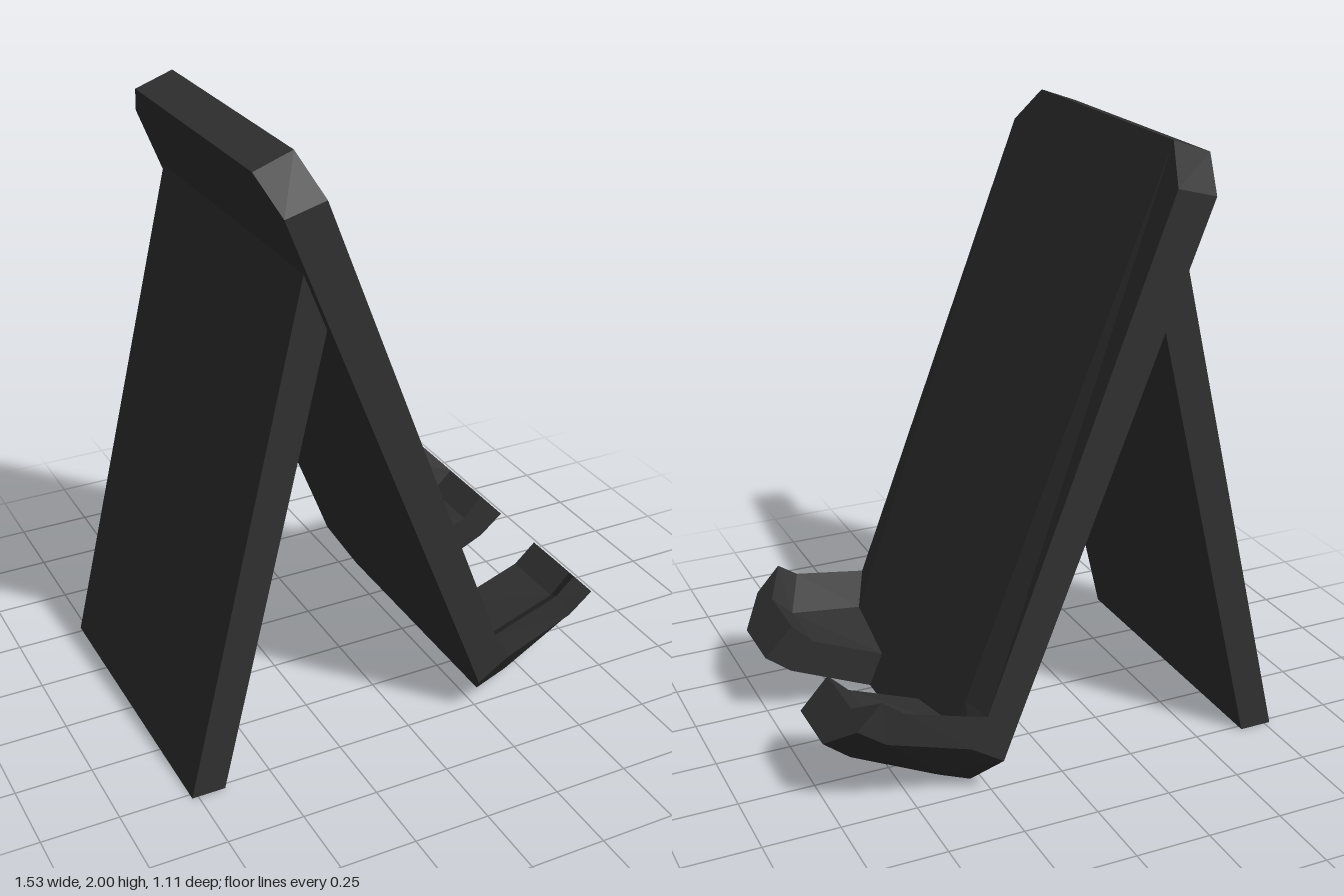
import * as THREE from 'three';

// Skin a series of rings (counter-clockwise seen from the last one) and cap both ends
function loft(rings) {
  const pos = [];
  const tri = (a, b, c) => pos.push(...a, ...b, ...c);
  const n = rings[0].length;
  for (let s = 0; s < rings.length - 1; s++) {
    const a = rings[s], b = rings[s + 1];
    for (let i = 0; i < n; i++) {
      const j = (i + 1) % n;
      tri(a[i], a[j], b[j]);
      tri(a[i], b[j], b[i]);
    }
  }
  const first = rings[0], last = rings[rings.length - 1];
  for (let i = 1; i < n - 1; i++) {
    tri(first[0], first[i + 1], first[i]);
    tri(last[0], last[i], last[i + 1]);
  }
  const geo = new THREE.BufferGeometry();
  geo.setAttribute('position', new THREE.Float32BufferAttribute(pos, 3));
  geo.computeVertexNormals(); // unshared corners keep the facets flat
  return geo;
}

const atZ = (profile, z) => profile.map(([x, y]) => [x, y, z]);

export function createModel() {
  const group = new THREE.Group();
  const charcoal = new THREE.MeshStandardMaterial({ color: 0x303030 });
  const add = (name, rings) => {
    const mesh = new THREE.Mesh(loft(rings), charcoal);
    mesh.name = name;
    group.add(mesh);
  };

  // Leaning back plate with chamfered corners
  const edge = [[0.285, 0.3], [-0.315, 1.885], [-0.445, 1.85], [0.18, 0.26], [0.23, 0.13], [0.34, 0.2]];
  const core = [[0.31, 0.3], [-0.36, 2], [-0.485, 1.955], [0.18, 0.26], [0.295, 0.015], [0.405, 0.06]];
  add('backPlate', [atZ(edge, -0.555), atZ(core, -0.44), atZ(core, 0.44), atZ(edge, 0.555)]);

  // Rear support leg
  const leg = [[-0.77, 0], [-0.66, 0], [-0.3, 1.49], [-0.33, 1.66], [-0.37, 1.68]];
  add('supportLeg', [atZ(leg, -0.52), atZ(leg, 0.52)]);

  // Front hooks: floor, raised outer corner and chamfered underside, from plate to tip
  const hook = [
    [[0.342, 0.22, 0.44], [0.285, 0.3, 0.555], [0.34, 0.2, 0.555], [0.405, 0.06, 0.44], [0.405, 0.06, 0.17], [0.36, 0.175, 0.165]],
    [[0.6, 0.27, 0.4], [0.54, 0.355, 0.52], [0.6, 0.26, 0.515], [0.68, 0.175, 0.405], [0.68, 0.175, 0.18], [0.6, 0.27, 0.175]],
    [[0.67, 0.34, 0.4], [0.61, 0.405, 0.51], [0.69, 0.32, 0.505], [0.765, 0.24, 0.4], [0.765, 0.24, 0.185], [0.67, 0.34, 0.18]],
  ];
  const mirrored = hook.map((ring) => {
    const [head, ...rest] = ring.map(([x, y, z]) => [x, y, -z]);
    return [head, ...rest.reverse()];
  });
  add('frontHook', hook);
  add('rearHook', mirrored);

  return group;
}
